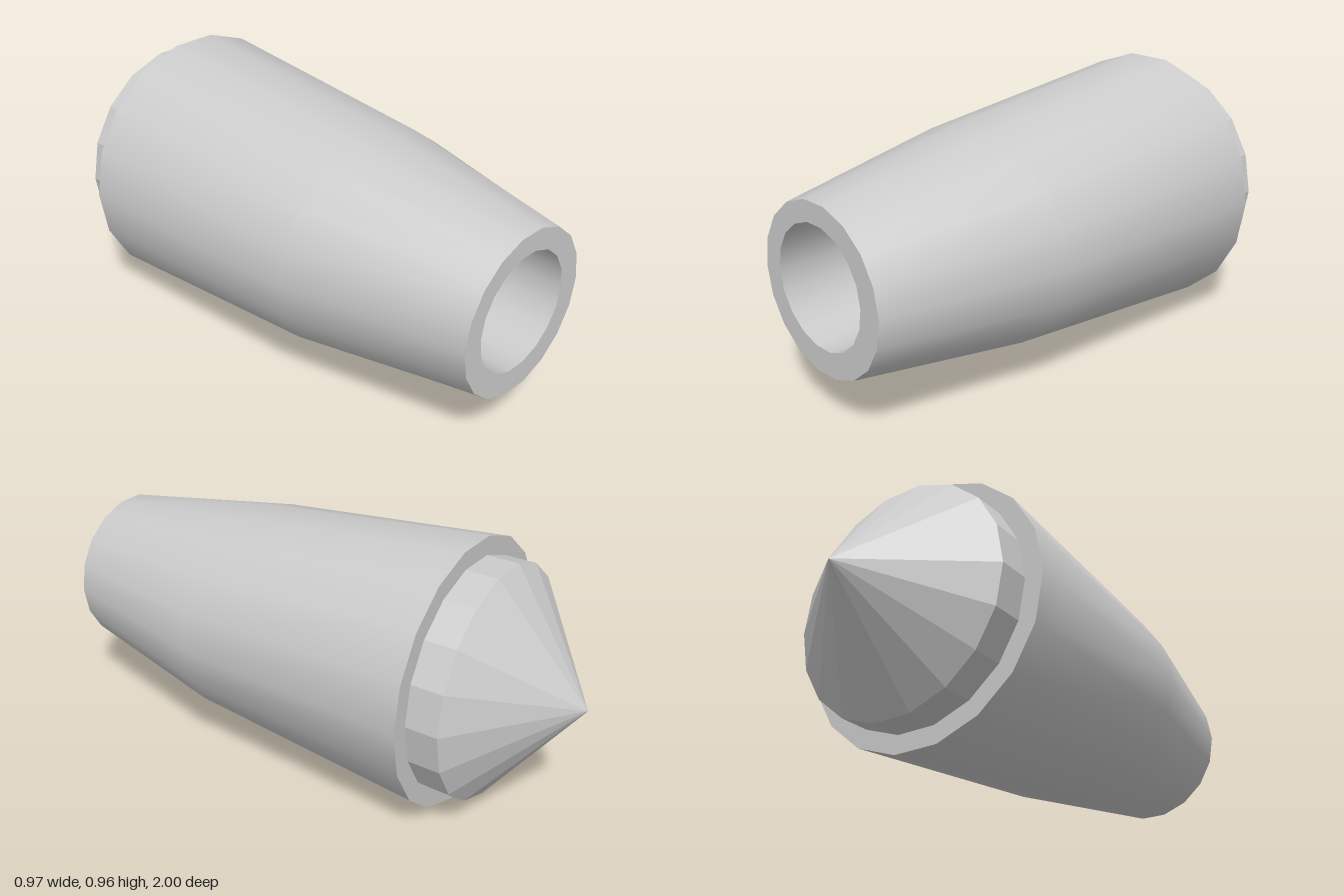
import * as THREE from 'three';
import { toCreasedNormals } from 'three/addons/utils/BufferGeometryUtils.js';

const SIDES = 18;
const AXIS_Y = 0.48;

// Joins elliptical sections [z, radiusX, radiusY, offsetX, offsetY] along z.
function loft(sections) {
  const point = ([z, rx, ry, ox = 0, oy = 0], k) => {
    const a = ((k % SIDES) / SIDES) * Math.PI * 2;
    return [ox + rx * Math.cos(a), oy + ry * Math.sin(a), z];
  };
  const positions = [];
  for (let i = 0; i < sections.length - 1; i++) {
    const s = sections[i], t = sections[i + 1];
    for (let k = 0; k < SIDES; k++) {
      const a = point(s, k), b = point(s, k + 1);
      const c = point(t, k + 1), d = point(t, k);
      if (t[1] > 0) positions.push(...a, ...d, ...c);
      if (s[1] > 0) positions.push(...a, ...c, ...b);
    }
  }
  const geometry = new THREE.BufferGeometry();
  geometry.setAttribute('position', new THREE.Float32BufferAttribute(positions, 3));
  geometry.computeVertexNormals();
  return geometry;
}

export function createModel() {
  const group = new THREE.Group();
  group.name = 'taperedSleeve';

  const add = (name, geometry, flatShading) => {
    const material = new THREE.MeshStandardMaterial({ color: 0xcccccc, flatShading });
    const mesh = new THREE.Mesh(geometry, material);
    mesh.name = name;
    mesh.position.y = AXIS_Y;
    group.add(mesh);
  };

  // Smooth tapered body: bore floor, bore wall, front rim, outer wall, back face
  const ox = -0.006, oy = 0.008;
  add('body', toCreasedNormals(loft([
    [-0.5, 0, 0, ox, oy],
    [-0.5, 0.213, 0.213, ox, oy],
    [1, 0.213, 0.213, ox, oy],
    [1, 0.295, 0.295],
    [0.35, 0.445, 0.391],
    [-0.565, 0.487, 0.487],
    [-0.565, 0, 0],
  ]), 0.5), false);

  // Faceted collar, slightly sunk into the body
  add('collar', loft([
    [-0.55, 0.42, 0.42],
    [-0.682, 0.42, 0.42],
  ]), true);

  // Faceted pointed end
  add('pointedCap', loft([
    [-0.682, 0.42, 0.42],
    [-1, 0, 0],
  ]), true);

  return group;
}
